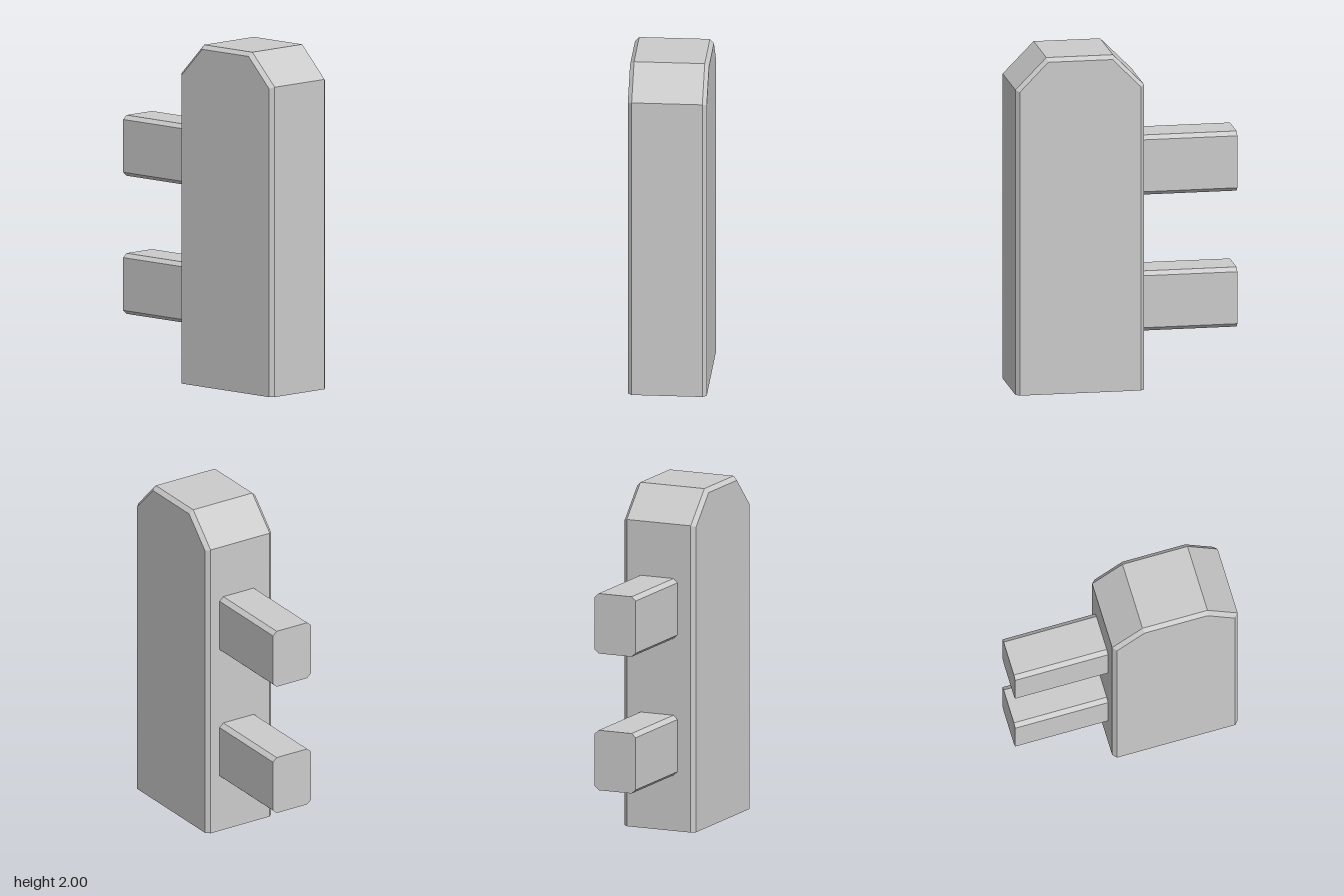
import * as THREE from 'three';

const material = new THREE.MeshStandardMaterial({
  color: 0xcccccc, flatShading: true, side: THREE.DoubleSide,
});

// Skins a row of matching rings with flat faces; convex rings can be capped.
function loft(name, rings, { closed, capStart, capEnd }) {
  const positions = [];
  const tri = (...corners) => corners.forEach((p) => positions.push(...p));
  const fan = (ring) => {
    for (let i = 1; i < ring.length - 1; i++) tri(ring[0], ring[i], ring[i + 1]);
  };
  const n = rings[0].length;
  for (let k = 0; k < rings.length - 1; k++) {
    for (let i = 0; i < (closed ? n : n - 1); i++) {
      const j = (i + 1) % n;
      const a = rings[k][i], b = rings[k][j], c = rings[k + 1][j], d = rings[k + 1][i];
      tri(a, b, c);
      tri(a, c, d);
    }
  }
  if (capStart) fan([...rings[0]].reverse());
  if (capEnd) fan(rings[rings.length - 1]);
  const geometry = new THREE.BufferGeometry();
  geometry.setAttribute('position', new THREE.Float32BufferAttribute(positions, 3));
  geometry.computeVertexNormals();
  const mesh = new THREE.Mesh(geometry, material);
  mesh.name = name;
  return mesh;
}

// Upright hollow board: clipped top corners, bevelled faces, open underneath
function createPost() {
  const outer = [[0.657, 0], [0.657, 1.815], [0.475, 2], [0.083, 2], [-0.1, 1.815], [-0.1, 0]];
  const inner = [[0.635, 0], [0.635, 1.806], [0.468, 1.977], [0.09, 1.977], [-0.078, 1.806], [-0.078, 0]];
  const at = (outline, z) => outline.map(([x, y]) => [x, y, z]);
  return loft('post', [
    at(inner, -0.229), at(outer, -0.205), at(outer, 0.205), at(inner, 0.229),
  ], { closed: false, capStart: true, capEnd: true });
}

// Horizontal rail with chamfered long edges, running into the side of the post
function createRail(name, y0) {
  const y1 = y0 + 0.355, z0 = -0.143, z1 = 0.12, cy = 0.023, cz = 0.026;
  const section = [
    [y0 + cy, z0], [y1 - cy, z0], [y1, z0 + cz], [y1, z1 - cz],
    [y1 - cy, z1], [y0 + cy, z1], [y0, z1 - cz], [y0, z0 + cz],
  ];
  const at = (x) => section.map(([y, z]) => [x, y, z]);
  return loft(name, [at(-0.66), at(-0.1)], { closed: true, capStart: true, capEnd: false });
}

export function createModel() {
  const group = new THREE.Group();
  group.name = 'fencePost';
  group.add(createPost(), createRail('lowerRail', 0.329), createRail('upperRail', 1.138));
  return group;
}
